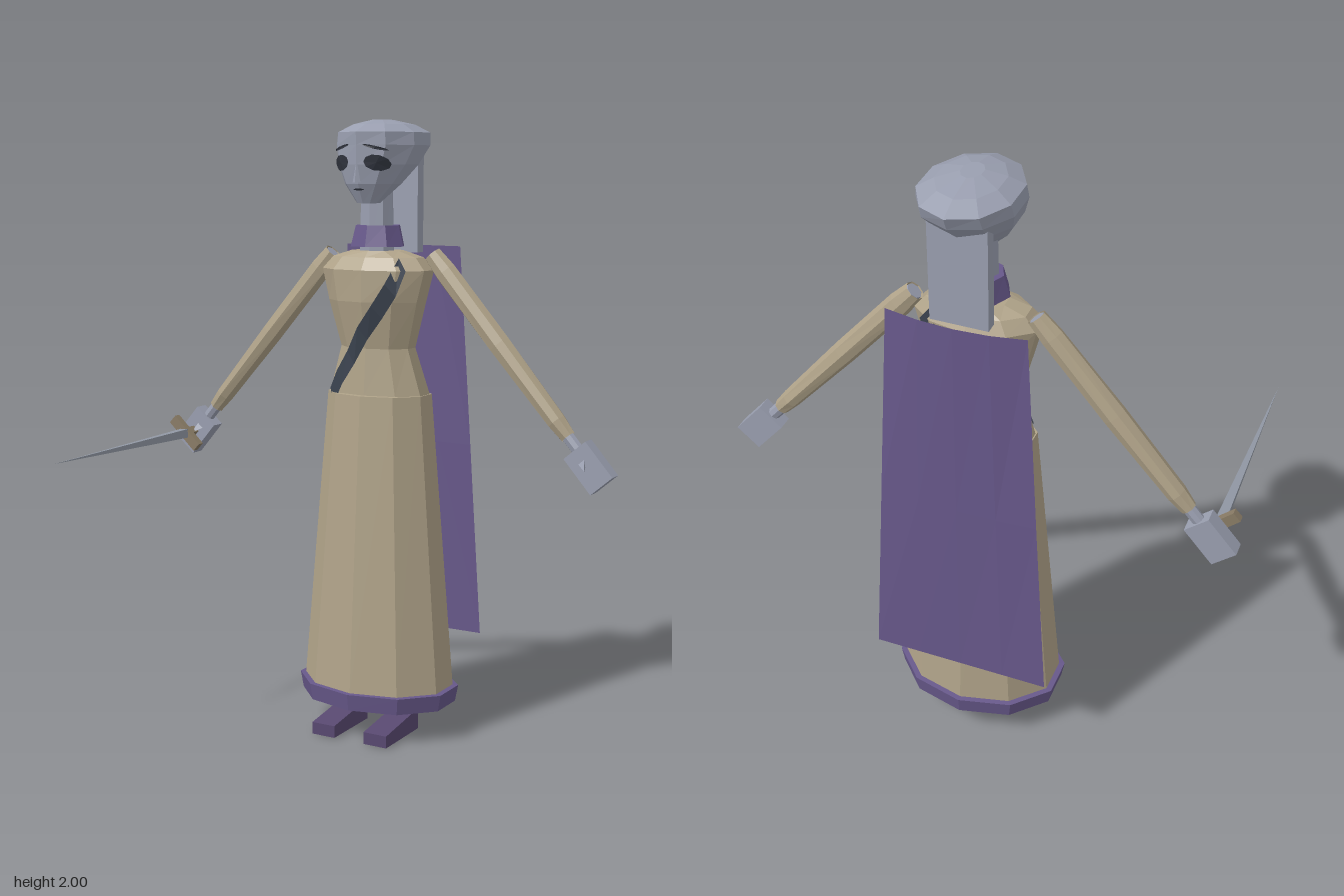
import * as THREE from 'three';

const mat = (name, color, side = THREE.FrontSide) =>
  Object.assign(new THREE.MeshStandardMaterial({ color, side, flatShading: true }), { name });

// Ten-sided loft; rings run bottom to top as [y, halfWidth, zFront, zBack]
function loft(rings, { n = 10, bottom = true, top = true } = {}) {
  const pos = [], idx = [];
  rings.forEach(([y, hx, zf, zb]) => {
    for (let j = 0; j < n; j++) {
      const a = (j / n) * Math.PI * 2;
      pos.push((hx * Math.sin(a)) / (n === 10 ? 0.951 : 1), y, (zf + zb) / 2 + ((zf - zb) / 2) * Math.cos(a));
    }
  });
  for (let i = 0; i < rings.length - 1; i++)
    for (let j = 0; j < n; j++) {
      const k = (j + 1) % n, a = i * n, b = a + n;
      idx.push(a + j, a + k, b + k, a + j, b + k, b + j);
    }
  const last = (rings.length - 1) * n;
  for (let j = 1; j < n - 1; j++) {
    if (bottom) idx.push(0, j + 1, j);
    if (top) idx.push(last, last + j, last + j + 1);
  }
  return finish(pos, idx);
}

function finish(pos, idx) {
  const g = new THREE.BufferGeometry();
  g.setAttribute('position', new THREE.Float32BufferAttribute(pos, 3));
  g.setIndex(idx);
  const flat = g.toNonIndexed();
  flat.computeVertexNormals();
  return flat;
}

// Ribbon between two rows of points
function ribbon(rowA, rowB) {
  const pos = [], idx = [];
  rowA.forEach((p, i) => {
    pos.push(...p, ...rowB[i]);
    if (i) idx.push(2 * i - 2, 2 * i - 1, 2 * i + 1, 2 * i - 2, 2 * i + 1, 2 * i);
  });
  return finish(pos, idx);
}

const HEAD = [
  [1.74, 0.035, -0.155, -0.23], [1.80, 0.085, -0.125, -0.32], [1.86, 0.12, -0.114, -0.40],
  [1.92, 0.14, -0.112, -0.465], [1.96, 0.135, -0.11, -0.483], [1.985, 0.09, -0.17, -0.42], [2, 0.03, -0.24, -0.33],
];

// Front surface of a lofted form at (x, y)
function frontZ(rings, x, y, back = false) {
  let i = 0;
  while (i < rings.length - 2 && rings[i + 1][0] < y) i++;
  const t = THREE.MathUtils.clamp((y - rings[i][0]) / (rings[i + 1][0] - rings[i][0]), 0, 1);
  const [, hx, zf, zb] = rings[i].map((v, k) => v + (rings[i + 1][k] - v) * t);
  const c = Math.sqrt(Math.max(0, 1 - (x * 0.951 / hx) ** 2));
  return (zf + zb) / 2 + (back ? -1 : 1) * ((zf - zb) / 2) * c;
}

export function createModel() {
  const model = new THREE.Group();
  model.name = 'robedFigure';
  const skin = mat('greyBlueSkin', 0x9a9fb0);
  const cloth = mat('tanCloth', 0xb0a389, THREE.DoubleSide);
  const purple = mat('purpleCloth', 0x67588a, THREE.DoubleSide);
  const shoeMat = mat('darkPurple', 0x584870);
  const dark = mat('darkStrap', 0x3a424e, THREE.DoubleSide);
  const eyeMat = mat('eyeDark', 0x30343e, THREE.DoubleSide);
  const brown = mat('guardBrown', 0x8a7c66);
  const steel = mat('bladeSteel', 0x9097a3);

  const add = (name, geo, material, x = 0, y = 0, z = 0, parent = model) => {
    const m = new THREE.Mesh(geo, material);
    m.name = name;
    m.position.set(x, y, z);
    parent.add(m);
    return m;
  };
  const box = (w, h, d) => new THREE.BoxGeometry(w, h, d);

  // Skirt, hem and torso
  const TORSO = [
    [1.13, 0.166, -0.165, -0.378], [1.28, 0.122, -0.175, -0.345], [1.43, 0.16, -0.145, -0.36],
    [1.53, 0.185, -0.145, -0.365], [1.57, 0.15, -0.17, -0.345], [1.59, 0.085, -0.19, -0.325],
  ];
  add('skirt', loft([[0.11, 0.25, -0.075, -0.468], [0.16, 0.248, -0.077, -0.465], [1.13, 0.17, -0.14, -0.402]],
    { bottom: false }), cloth);
  add('hem', loft([[0.105, 0.256, -0.068, -0.475], [0.16, 0.266, -0.06, -0.482], [0.161, 0.248, -0.077, -0.465]],
    { bottom: false, top: false }), purple);
  add('torso', loft(TORSO), cloth);

  // Collar, neck and head
  add('collar', loft([[1.603, 0.093, -0.17, -0.335], [1.67, 0.075, -0.185, -0.325]], { n: 8 }), purple);
  add('neck', loft([[1.58, 0.06, -0.2, -0.3], [1.8, 0.055, -0.2, -0.295]], { n: 8 }), skin);
  add('head', loft(HEAD), skin);
  add('hairPanel', box(0.175, 0.33, 0.04), skin, 0, 1.745, -0.38);

  // Face: plates bent onto the head
  const decal = (name, cx, cy, rx, ry, tilt = 0) => {
    const g = new THREE.CircleGeometry(1, 10);
    const p = g.attributes.position;
    for (let i = 0; i < p.count; i++) {
      const u = p.getX(i) * rx, x = cx + u, y = cy + p.getY(i) * ry + u * tilt;
      p.setXYZ(i, x, y, frontZ(HEAD, x, y) + 0.006);
    }
    g.computeVertexNormals();
    add(name, g, eyeMat);
  };
  for (const s of [1, -1]) {
    decal('eye', s * 0.063, 1.865, 0.036, 0.025, -s * 0.1);
    decal('brow', s * 0.06, 1.912, 0.036, 0.005, -s * 0.25);
  }
  decal('mouth', 0, 1.783, 0.02, 0.003);
  const nose = add('nose', new THREE.ConeGeometry(0.014, 0.07, 4), skin, 0, 1.84, -0.116);
  nose.scale.z = 0.8;

  // Shoulder strap, front and back
  const steps = [[0.13, 1.55], [0.1, 1.47], [0.055, 1.4], [0, 1.33], [-0.05, 1.25], [-0.1, 1.18], [-0.133, 1.12]];
  for (const back of [false, true]) {
    const row = (dx, dy) => steps.map(([x, y]) =>
      [x + dx, y + dy, frontZ(TORSO, x + dx, y + dy, back) + (back ? -0.012 : 0.012)]);
    add(back ? 'strapBack' : 'strapFront', ribbon(row(-0.016, 0.02), row(0.016, -0.02)), dark);
  }

  // Cape, bowed at the shoulders and flat at the bottom
  const capeRow = (y, half, bow, z) => [-1, -0.5, 0, 0.5, 1].map((u) => [u * half, y, z + bow * u * u]);
  const capeRows = [capeRow(0.31, 0.285, 0, -0.458), capeRow(0.95, 0.247, 0.012, -0.455), capeRow(1.6, 0.21, 0.026, -0.45)];
  for (const i of [0, 1]) add('cape', ribbon(capeRows[i + 1], capeRows[i]), purple);

  // Arms, hands, legs and shoes
  for (const s of [1, -1]) {
    const arm = new THREE.Group();
    arm.name = s > 0 ? 'leftArm' : 'rightArm';
    arm.position.set(s * 0.19, 1.57, -0.285);
    arm.rotation.z = s * 0.714;
    model.add(arm);
    add('sleeve', loft([[-0.71, 0.025, 0.024, -0.024], [-0.65, 0.03, 0.034, -0.034], [-0.35, 0.037, 0.036, -0.036],
      [-0.06, 0.037, 0.03, -0.03], [0.012, 0.03, 0.026, -0.026]], { n: 8, bottom: false, top: false }), cloth, 0, 0, 0, arm);
    add('armSkin', loft([[-0.77, 0.02, 0.019, -0.019], [0.01, 0.025, 0.022, -0.022]], { n: 8 }), skin, 0, 0, 0, arm);
    add('hand', box(0.092, 0.138, 0.05), skin, 0, -0.826, 0, arm);
    const thumb = add('thumb', new THREE.ConeGeometry(0.016, 0.045, 3), skin, -s * 0.005, -0.815, 0.033, arm);
    thumb.rotation.x = 2.3;

    add('leg', loft([[0.095, 0.026, -0.245, -0.295], [0.7, 0.035, -0.235, -0.305]], { n: 8 }), skin, s * 0.097);
    const shoe = box(0.084, 0.07, 0.222);
    const p = shoe.attributes.position;
    for (let i = 0; i < p.count; i++) if (p.getY(i) > 0 && p.getZ(i) > 0) p.setY(i, 0.005);
    shoe.computeVertexNormals();
    add('shoe', shoe, shoeMat, s * 0.097, 0.035, -0.183);
  }

  // Sword in the right hand
  const sword = new THREE.Group();
  sword.name = 'sword';
  sword.position.set(-0.735, 0.942, 0);
  sword.rotation.z = -0.75;
  model.add(sword);
  add('guard', box(0.135, 0.034, 0.024), brown, 0, 0, -0.213, sword);
  add('grip', box(0.026, 0.026, 0.06), brown, 0, 0, -0.24, sword);
  const blade = add('blade', new THREE.ConeGeometry(0.021, 0.692, 4), steel, 0, 0, 0.144, sword);
  blade.rotation.x = Math.PI / 2;
  return model;
}
